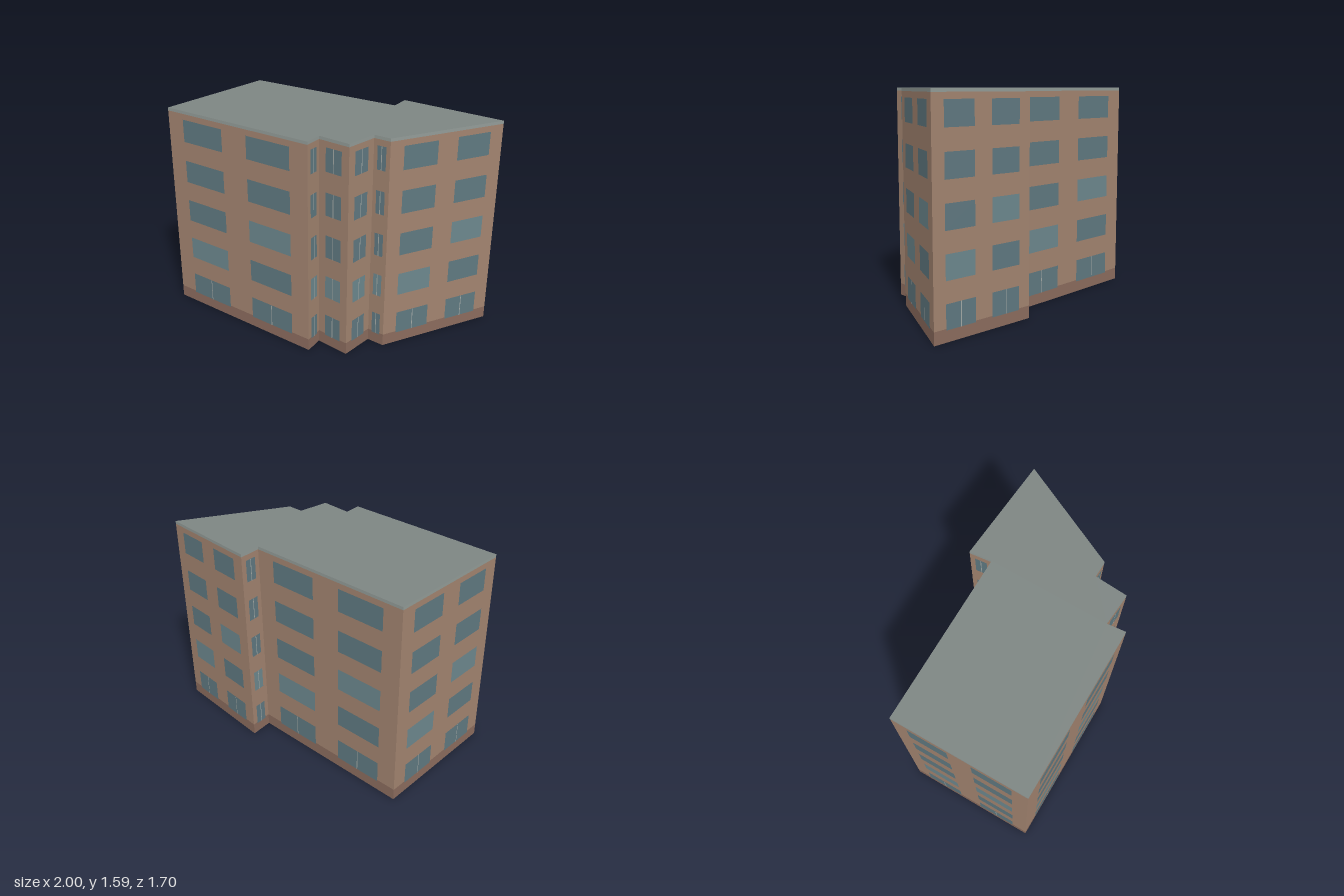
import * as THREE from 'three';

// Footprint corners [x, z], running back-left, back-right, front-right, front-left
const FOOTPRINT = [
  [-1, -0.14], [0.255, -0.515], [0.193, -0.675], [1, -0.853], [0.815, 0.037],
  [0.69, 0.07], [0.737, 0.32], [0.486, 0.37], [0.537, 0.503], [-0.717, 0.85],
];
const HEIGHT = 1.587;
const BASE_TOP = 0.09;
const TRIM_BOTTOM = 1.565;
const FLOORS = 5;
const FLOOR_HEIGHT = 0.318;
const SILL = 0.08;
const WINDOW_HEIGHT = 0.17;

const paint = (color, side = THREE.FrontSide) => new THREE.MeshStandardMaterial({ color, side });

export function createModel() {
  const brick = paint(0xa1836f, THREE.DoubleSide);
  const plinth = paint(0x8a6b5d, THREE.DoubleSide);
  const trim = paint(0x929b97, THREE.DoubleSide);
  const roofing = paint(0x7d8582, THREE.DoubleSide);
  const glass = paint(0x5f7880);
  const paleGlass = paint(0x6c878d);
  const frame = paint(0xa3aaa6);

  const building = new THREE.Group();
  building.name = 'apartmentBuilding';

  // Upright panel facing local +z
  function panel(parent, name, material, x, y0, y1, width, z = 0) {
    const mesh = new THREE.Mesh(new THREE.PlaneGeometry(width, y1 - y0), material);
    mesh.position.set(x, (y0 + y1) / 2, z);
    mesh.name = name;
    parent.add(mesh);
  }

  // One facade per footprint edge: plinth, brick, roof trim and a grid of windows
  FOOTPRINT.forEach(([ax, az], i) => {
    const [bx, bz] = FOOTPRINT[(i + 1) % FOOTPRINT.length];
    const dx = bx - ax, dz = bz - az;
    const length = Math.hypot(dx, dz);
    const facade = new THREE.Group();
    facade.name = `facade${i + 1}`;
    facade.position.set((ax + bx) / 2, 0, (az + bz) / 2);
    facade.rotation.y = Math.atan2(dz, -dx);
    building.add(facade);

    panel(facade, 'plinth', plinth, 0, 0, BASE_TOP, length);
    panel(facade, 'wall', brick, 0, BASE_TOP, TRIM_BOTTOM, length);
    panel(facade, 'roofTrim', trim, 0, TRIM_BOTTOM, HEIGHT, length);

    // Long facades carry two windows per floor, short ones a single window
    const isLong = length > 0.5;
    const centres = isLong ? [-0.236, 0.236] : [0];
    const width = length * (isLong ? 0.295 : 0.53);
    for (let floor = 0; floor < FLOORS; floor++) {
      const y = SILL + floor * FLOOR_HEIGHT;
      centres.forEach((centre, column) => {
        const x = centre * length;
        const material = floor - column === 1 ? paleGlass : glass;
        panel(facade, 'window', material, x, y, y + WINDOW_HEIGHT, width, 0.002);
        if (floor === 0 || !isLong) {
          panel(facade, 'mullion', frame, x, y, y + WINDOW_HEIGHT, 0.006, 0.004);
        }
      });
    }
  });

  // Flat roof; the underside of the building stays open
  const outline = new THREE.Shape(FOOTPRINT.map(([x, z]) => new THREE.Vector2(x, -z)));
  const roof = new THREE.Mesh(new THREE.ShapeGeometry(outline).rotateX(-Math.PI / 2), roofing);
  roof.position.y = HEIGHT;
  roof.name = 'roof';
  building.add(roof);

  return building;
}
